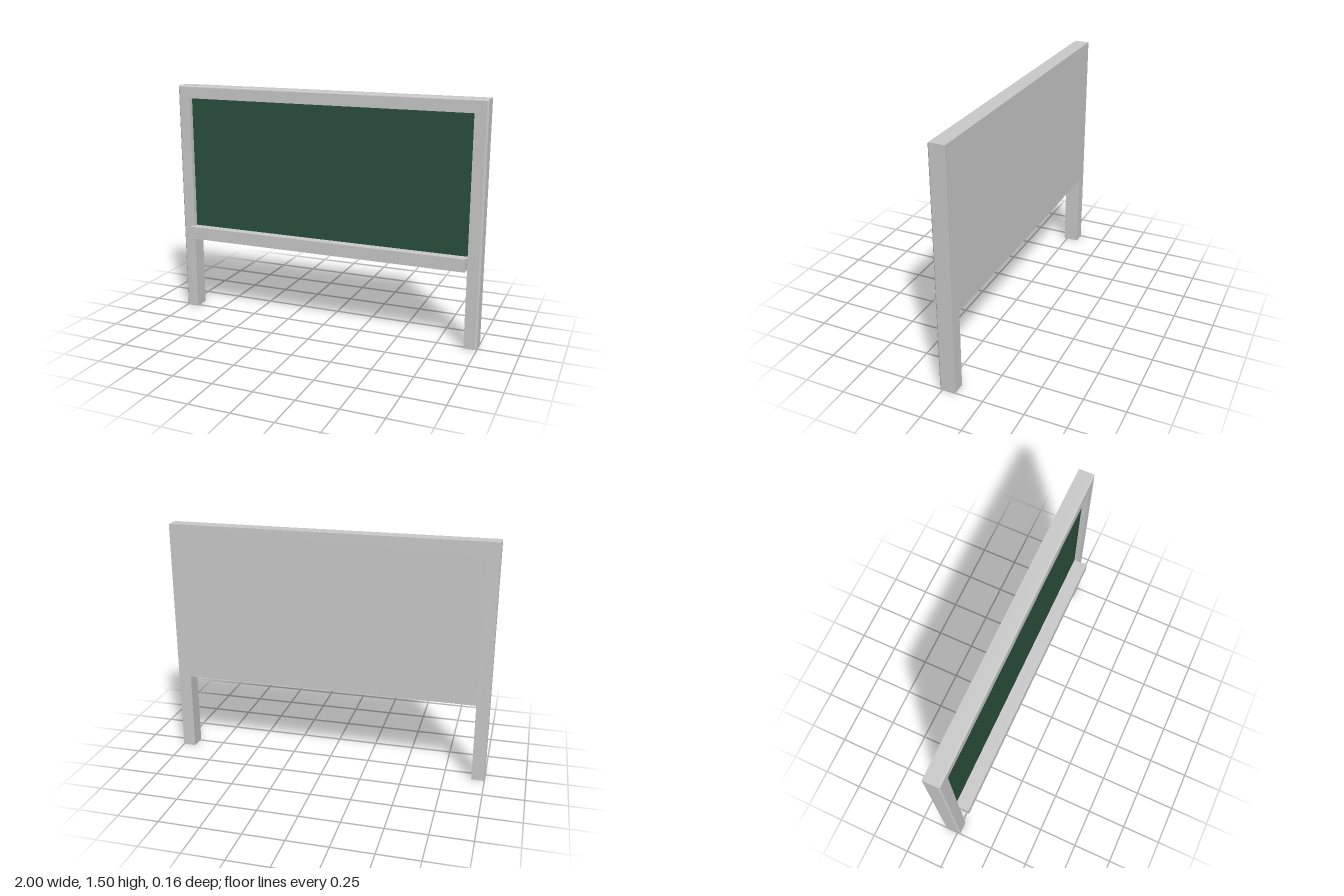
import * as THREE from 'three';

const grey = new THREE.MeshStandardMaterial({ color: 0xcccccc, flatShading: true });
const green = new THREE.MeshStandardMaterial({ color: 0x2a513d, flatShading: true });

const BACK = -0.08, FRONT = 0.02, WIDTH = 0.08, TOP = 1.5, ROUND = 0.01;

// Legs and top rail: one section (inset from the outer edge, z) mitred round three sides
function frameGeometry() {
  const section = [[0, BACK]];
  for (let i = 0; i <= 3; i++) {
    const a = (i / 3) * Math.PI / 2;
    section.push([ROUND * (1 - Math.cos(a)), FRONT - ROUND + ROUND * Math.sin(a)]);
  }
  section.push([WIDTH, FRONT], [WIDTH, BACK]);
  const rings = [[1, 0], [1, 1], [-1, 1], [-1, 0]].map(([side, up]) =>
    section.map(([inset, z]) => [side * (1 - inset), up * (TOP - inset), z]));

  const positions = [];
  const triangle = (a, b, c) => positions.push(...a, ...b, ...c);
  const n = section.length;
  for (let r = 0; r < 3; r++) {
    for (let i = 0; i < n; i++) {
      const j = (i + 1) % n;
      const [p, q] = [rings[r], rings[r + 1]];
      triangle(p[i], q[i], p[j]);
      triangle(p[j], q[i], q[j]);
    }
  }
  // Feet
  for (let i = 1; i < n - 1; i++) {
    triangle(rings[0][0], rings[0][i], rings[0][i + 1]);
    triangle(rings[3][0], rings[3][i + 1], rings[3][i]);
  }
  const geometry = new THREE.BufferGeometry();
  geometry.setAttribute('position', new THREE.Float32BufferAttribute(positions, 3));
  geometry.computeVertexNormals();
  return geometry;
}

// Box given by its y and z ranges, spanning the gap between the legs
function panelGeometry(y0, y1, z0, z1) {
  return new THREE.BoxGeometry(2 * (1 - WIDTH), y1 - y0, z1 - z0)
    .translate(0, (y0 + y1) / 2, (z0 + z1) / 2);
}

// Tray: stepped profile in (z, y) with a raised front lip, extruded along x
function trayGeometry() {
  const profile = [[-0.02, 0.5], [0.08, 0.5], [0.08, 0.58], [0.05, 0.58], [0.05, 0.57], [-0.02, 0.57]];
  const shape = new THREE.Shape(profile.map(([z, y]) => new THREE.Vector2(-z, y)).reverse());
  const length = 2 * (1 - WIDTH);
  return new THREE.ExtrudeGeometry(shape, { depth: length, bevelEnabled: false })
    .translate(0, 0, -length / 2)
    .rotateY(Math.PI / 2);
}

export function createModel() {
  const model = new THREE.Group();
  model.name = 'chalkboard';
  const add = (name, geometry, material) => {
    const mesh = new THREE.Mesh(geometry, material);
    mesh.name = name;
    model.add(mesh);
  };
  add('frame', frameGeometry(), grey);
  add('backPanel', panelGeometry(0.5, TOP - WIDTH, BACK, -0.02), grey);
  add('writingSurface', panelGeometry(0.57, TOP - WIDTH, -0.02, -0.01), green);
  add('chalkTray', trayGeometry(), grey);
  return model;
}
